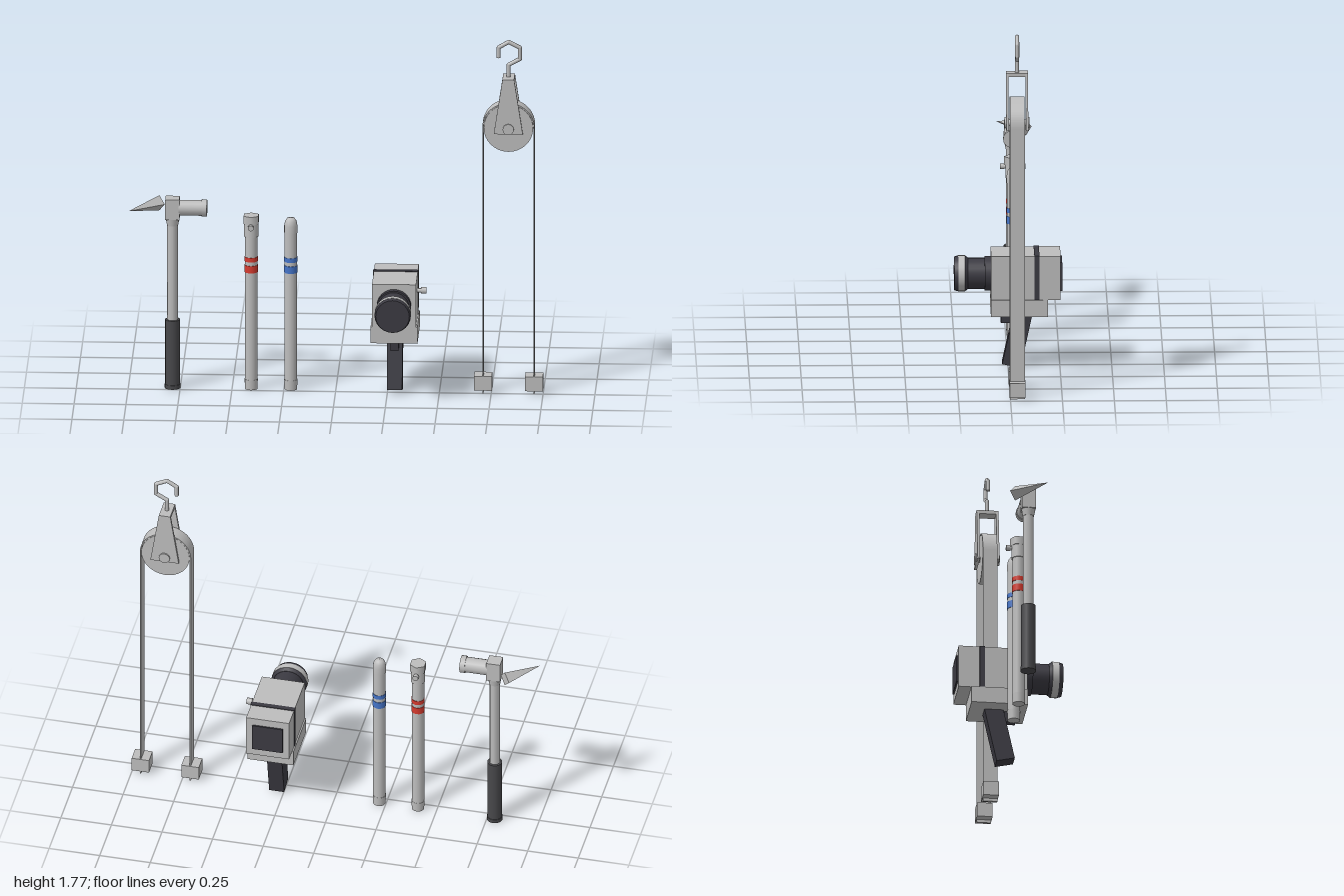
import * as THREE from 'three';

const mat = (name, color) => {
  const m = new THREE.MeshStandardMaterial({ color });
  m.name = name;
  return m;
};

export function createModel() {
  const root = new THREE.Group();
  const grey = mat('lightGrey', 0xbdbdbd);
  const dark = mat('darkPlastic', 0x3b3a42);
  const rubber = mat('rubberGrip', 0x48484b);
  const red = mat('redBand', 0xd63a2e);
  const blue = mat('blueBand', 0x4474c8);
  const Z = -0.034; // common centre plane of the tools

  const group = (name, x, z = Z) => {
    const g = new THREE.Group();
    g.name = name;
    g.position.set(x, 0, z);
    root.add(g);
    return g;
  };
  const add = (g, name, geo, m, x = 0, y = 0, z = 0) => {
    const mesh = new THREE.Mesh(geo, m);
    mesh.name = name;
    mesh.position.set(x, y, z);
    g.add(mesh);
    return mesh;
  };
  const box = (g, name, m, x0, x1, y0, y1, z0, z1) =>
    add(g, name, new THREE.BoxGeometry(x1 - x0, y1 - y0, z1 - z0), m, (x0 + x1) / 2, (y0 + y1) / 2, (z0 + z1) / 2);
  // Cylinder between two points, r0 at the start and r1 at the end
  const rod = (g, name, m, a, b, r0, r1 = r0, sides = 16) => {
    const p = new THREE.Vector3(...a), q = new THREE.Vector3(...b);
    const d = q.clone().sub(p);
    const mesh = add(g, name, new THREE.CylinderGeometry(r1, r0, d.length(), sides), m);
    mesh.position.copy(p).add(q).multiplyScalar(0.5);
    mesh.quaternion.setFromUnitVectors(new THREE.Vector3(0, 1, 0), d.normalize());
    return mesh;
  };
  const post = (g, name, m, y0, y1, r0, r1, sides) => rod(g, name, m, [0, y0, 0], [0, y1, 0], r0, r1, sides);

  // Hammer
  const hammer = group('hammer', -0.787);
  post(hammer, 'gripEnd', rubber, 0, 0.02, 0.038);
  post(hammer, 'grip', rubber, 0.02, 0.345, 0.036);
  post(hammer, 'shaft', grey, 0.345, 0.83, 0.026, 0.026, 8);
  post(hammer, 'collar', grey, 0.82, 0.86, 0.027, 0.034);
  box(hammer, 'headBlock', grey, -0.034, 0.034, 0.855, 0.957, -0.034, 0.034);
  rod(hammer, 'striker', grey, [0.03, 0.908, 0], [0.14, 0.908, 0], 0.038);
  rod(hammer, 'strikerFace', grey, [0.14, 0.908, 0], [0.166, 0.908, 0], 0.042);
  // four-sided pick, set at an angle
  const pick = add(hammer, 'pick', new THREE.ConeGeometry(0.038, 0.202, 4).toNonIndexed(), grey, -0.138, 0.909, 0);
  pick.geometry.computeVertexNormals();
  pick.rotation.set(0, Math.PI / 4, Math.PI / 2, 'YXZ');
  pick.position.z = -0.035 - Z;

  // Two banded rods
  const bandedRod = (name, x, band, top) => {
    const g = group(name, x);
    post(g, 'foot', grey, 0, 0.05, 0.03, 0.032);
    post(g, 'tube', grey, 0.05, top, 0.0305);
    post(g, 'wideBand', band, 0.59, 0.626, 0.0325);
    post(g, 'narrowBand', band, 0.645, 0.667, 0.0325);
    return g;
  };
  const redRod = bandedRod('redBandedRod', -0.408, red, 0.78);
  post(redRod, 'neck', grey, 0.77, 0.84, 0.035);
  post(redRod, 'hexCap', grey, 0.835, 0.875, 0.041, 0.041, 6);
  rod(redRod, 'crossPin', grey, [0, 0.825, -0.055], [0, 0.825, 0.055], 0.01);
  for (const s of [-1, 1]) rod(redRod, 'pinKnob', grey, [0, 0.826, s * 0.042], [0, 0.826, s * 0.061], 0.014);

  const blueRod = bandedRod('blueBandedRod', -0.217, blue, 0.82);
  const dome = [[0.032, 0.79], [0.032, 0.825], [0.028, 0.848], [0.019, 0.862], [0, 0.867]];
  add(blueRod, 'domeTip', new THREE.LatheGeometry(dome.map(p => new THREE.Vector2(...p)), 16), grey);

  // Hand-held camera
  const cam = group('camera', 0.285, 0);
  box(cam, 'body', grey, -0.106, 0.106, 0.354, 0.57, -0.252, 0.083);
  box(cam, 'base', grey, -0.113, 0.113, 0.273, 0.355, -0.19, 0.084);
  box(cam, 'stripe', dark, -0.109, 0.109, 0.356, 0.573, -0.15, -0.125);
  box(cam, 'backScreen', dark, -0.075, 0.075, 0.392, 0.532, -0.26, -0.251);
  const lens = (name, m, z0, z1, r0, r1) => rod(cam, name, m, [0, 0.463, z0], [0, 0.463, z1], r0, r1, 24);
  lens('lensMount', dark, 0.08, 0.113, 0.083);
  lens('lensBarrel', dark, 0.113, 0.205, 0.075);
  lens('lensFlare', dark, 0.193, 0.208, 0.076, 0.087);
  lens('lensRing', grey, 0.208, 0.24, 0.088);
  lens('lensFront', dark, 0.24, 0.26, 0.087, 0.081);
  rod(cam, 'knobStem', grey, [0.1, 0.505, -0.037], [0.132, 0.505, -0.037], 0.01);
  rod(cam, 'knob', grey, [0.125, 0.505, -0.037], [0.152, 0.505, -0.037], 0.016);
  const handle = add(cam, 'handle', new THREE.BoxGeometry(0.074, 0.28, 0.09), dark, 0, 0.148, -0.045);
  handle.rotation.x = -0.215;
  box(cam, 'trigger', dark, -0.019, 0.019, 0.22, 0.275, -0.02, 0.035);

  // Pulley
  const pulley = group('pulley', 0.833);
  const axleY = 1.34;
  rod(pulley, 'wheel', grey, [0, axleY, -0.034], [0, axleY, 0.034], 0.119, 0.119, 32);
  // belt runs over the wheel and down both sides
  const outer = 0.126, inner = 0.12;
  const belt = new THREE.Shape();
  belt.moveTo(outer, 0);
  belt.lineTo(outer, axleY);
  belt.absarc(0, axleY, outer, 0, Math.PI, false);
  belt.lineTo(-outer, 0);
  belt.lineTo(-inner, 0);
  belt.lineTo(-inner, axleY);
  belt.absarc(0, axleY, inner, Math.PI, 0, true);
  belt.lineTo(inner, 0);
  add(pulley, 'belt', new THREE.ExtrudeGeometry(belt, { depth: 0.07, bevelEnabled: false, curveSegments: 24 }), grey, 0, 0, -0.035);
  // tapered side plates joined by a top plate
  const plate = new THREE.Shape([[-0.07, 1.315], [0.07, 1.315], [0.028, 1.59], [-0.028, 1.59]].map(p => new THREE.Vector2(...p)));
  const plateGeo = new THREE.ExtrudeGeometry(plate, { depth: 0.012, bevelEnabled: false });
  for (const s of [-1, 1]) {
    add(pulley, 'sidePlate', plateGeo, grey, 0, 0, s > 0 ? 0.041 : -0.053);
    rod(pulley, 'axleCap', grey, [0, axleY, s * 0.05], [0, axleY, s * 0.06], 0.027);
    box(pulley, 'weight', grey, s * 0.123 - 0.043, s * 0.123 + 0.043, 0.015, 0.087, -0.038, 0.038);
  }
  box(pulley, 'topPlate', grey, -0.028, 0.028, 1.572, 1.59, -0.053, 0.053);
  rod(pulley, 'axle', grey, [0, axleY, -0.053], [0, axleY, 0.053], 0.015);
  // angular hook
  const hook = [[0, 1.58], [0, 1.65], [0.054, 1.68], [0.054, 1.737], [0, 1.765], [-0.048, 1.737], [-0.048, 1.685]];
  hook.slice(1).forEach((p, i) => {
    rod(pulley, 'hookSegment', grey, [...hook[i], 0], [...p, 0], 0.01, 0.01, 10);
    if (i < 5) add(pulley, 'hookJoint', new THREE.SphereGeometry(0.01, 10, 8), grey, ...p, 0);
  });

  return root;
}
